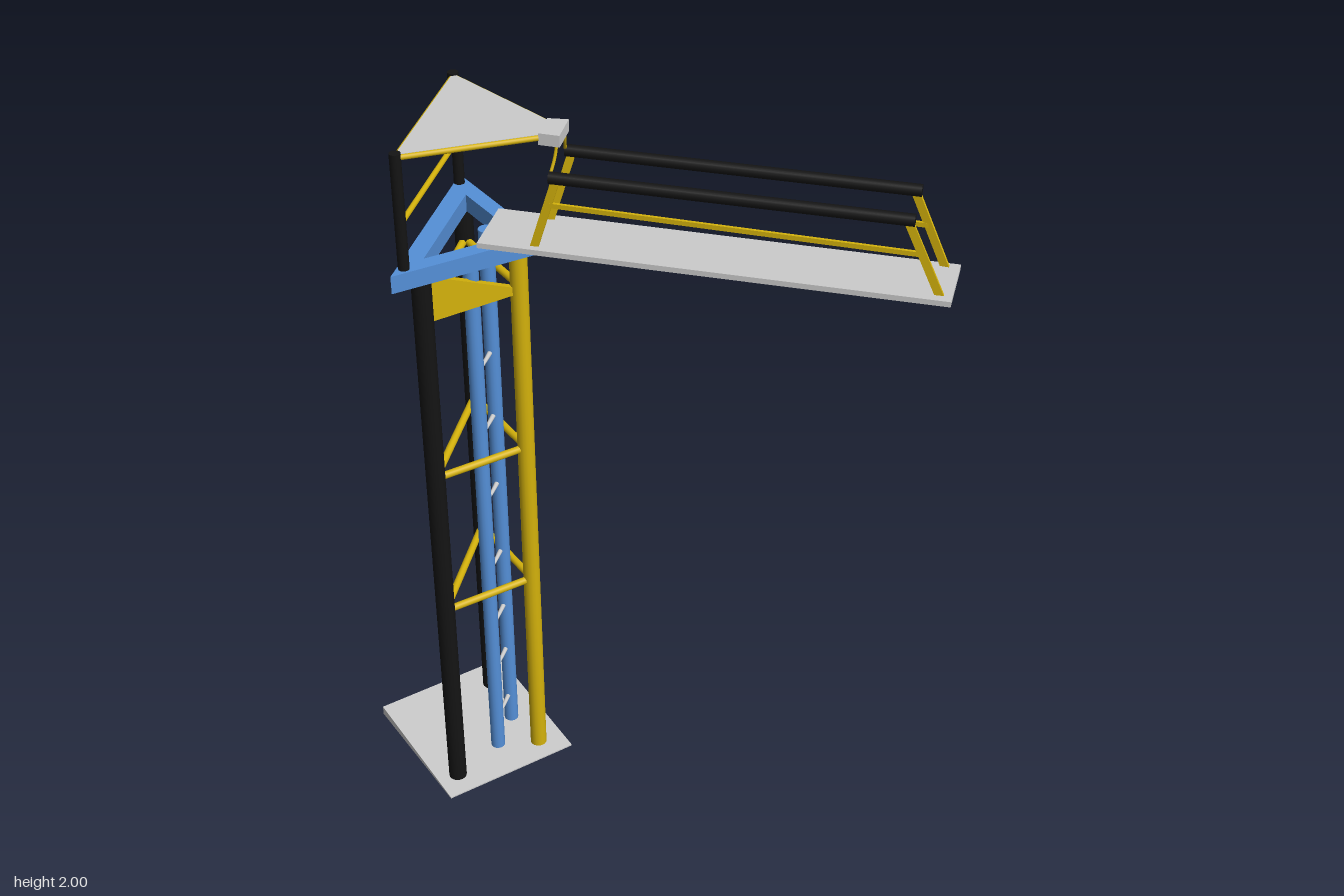
import * as THREE from 'three';

const mat = (color) => new THREE.MeshStandardMaterial({ color, side: THREE.DoubleSide });
const V = (x, y, z) => new THREE.Vector3(x, y, z);

export function createModel() {
  const model = new THREE.Group();
  const grey = mat(0xcccccc), black = mat(0x141414), blue = mat(0x5590d8), yellow = mat(0xd4b20c);

  const add = (name, geometry, material) => {
    const mesh = new THREE.Mesh(geometry, material);
    mesh.name = name;
    model.add(mesh);
    return mesh;
  };
  // Lays a geometry that runs along z between two points
  const span = (name, geometry, material, p, q) => {
    const mesh = add(name, geometry, material);
    mesh.position.copy(p).lerp(q, 0.5);
    mesh.lookAt(q);
    return mesh;
  };
  const rod = (name, p, q, r, material, r2 = r) =>
    span(name, new THREE.CylinderGeometry(r2, r, p.distanceTo(q), 16).rotateX(Math.PI / 2), material, p, q);
  const bar = (name, p, q, w, h, material) =>
    span(name, new THREE.BoxGeometry(w, h, p.distanceTo(q)), material, p, q);
  const post = (name, [x, z], y0, y1, r, material) => {
    const mesh = add(name, new THREE.CylinderGeometry(r, r, y1 - y0, 16), material);
    mesh.position.set(x, (y0 + y1) / 2, z);
  };
  // Horizontal slab from a plan outline of [x, z] points
  const slab = (name, outline, y0, y1, material, hole) => {
    const toV2 = ([x, z]) => new THREE.Vector2(x, -z);
    const shape = new THREE.Shape(outline.map(toV2));
    if (hole) shape.holes.push(new THREE.Path(hole.map(toV2)));
    const geometry = new THREE.ExtrudeGeometry(shape, { depth: y1 - y0, bevelEnabled: false });
    geometry.rotateX(-Math.PI / 2).translate(0, y0, 0);
    add(name, geometry, material);
  };

  // Wedge-shaped base plate, thin at the front
  const base = new THREE.BoxGeometry(0.4, 0.028, 0.42).translate(-0.345, 0.014, -0.393);
  const pos = base.attributes.position;
  for (let i = 0; i < pos.count; i++) {
    if (pos.getY(i) > 0.02 && pos.getZ(i) > -0.3) pos.setY(i, 0.004);
  }
  base.computeVertexNormals();
  add('basePlate', base, grey);

  // Three main columns
  const colA = [-0.485, -0.25], colB = [-0.22, -0.525], colC = [-0.22, -0.245];
  post('rearColumn', colA, 0.01, 1.66, 0.025, black);
  post('rearColumn', colB, 0.01, 1.66, 0.025, black);
  post('frontColumn', colC, 0.01, 1.66, 0.023, yellow);

  // Cross braces between the columns
  const pairs = [[colA, colB], [colB, colC], [colC, colA]];
  for (const y of [0.62, 1.06, 1.55]) {
    for (const [p, q] of pairs) {
      if (y > 1.5 && p === colC) continue;
      rod('crossBrace', V(p[0], y, p[1]), V(q[0], y, q[1]), 0.01, yellow);
    }
  }

  // Gusset replacing the upper side brace
  const gusset = new THREE.Shape();
  gusset.moveTo(-0.465, 1.53).lineTo(-0.235, 1.53).lineTo(-0.235, 1.55).lineTo(-0.465, 1.655);
  add('gusset', new THREE.ExtrudeGeometry(gusset, { depth: 0.02, bevelEnabled: false }).translate(0, 0, -0.26), yellow);

  // Ladder
  const railL = [-0.34, -0.27], railR = [-0.25, -0.35];
  for (const rail of [railL, railR]) post('ladderRail', rail, 0.04, 1.67, 0.02, blue);
  for (const y of [0.135, 0.315, 0.475, 0.67, 0.9, 1.12, 1.315, 1.52]) {
    rod('ladderRung', V(railL[0], y - 0.003, railL[1]), V(railR[0], y + 0.003, railR[1]), 0.003, grey, 0.007);
  }

  // Triangular frame on top of the columns
  const frame = [[-0.575, -0.225], [-0.19, -0.59], [-0.18, -0.2]];
  const inner = frame.map(([x, z]) => [-0.295 + (x + 0.295) * 0.62, -0.315 + (z + 0.315) * 0.62]);
  slab('topFrame', frame, 1.65, 1.697, blue, inner);

  // Long diagonal board
  slab('board', [[-0.34, -0.23], [0.44, 0.6], [0.57, 0.48], [-0.21, -0.352]], 1.7, 1.714, grey);

  // Handrails with slanted legs: [start, end, start foot, end foot] in plan
  const rails = [
    [[-0.2, -0.115], [0.39, 0.51], [-0.23, -0.145], [0.44, 0.56]],
    [[-0.095, -0.215], [0.493, 0.408], [-0.13, -0.238], [0.535, 0.465]],
  ];
  const boxEnds = [[-0.172, -0.125], [-0.115, -0.183]];
  rails.forEach(([s, e, fs, fe], i) => {
    const top = (p) => V(p[0], 1.9, p[1]), foot = (p) => V(p[0], 1.71, p[1]);
    rod('handrail', top(s), top(e), 0.015, black);
    const inS = top(s).lerp(top(e), 0.02), inE = top(e).lerp(top(s), 0.02);
    bar('handrailLeg', foot(fs), inS, 0.008, 0.02, yellow);
    bar('handrailLeg', foot(fe), inE, 0.008, 0.02, yellow);
    bar('midRail', foot(fs).lerp(inS, 0.62), foot(fe).lerp(inE, 0.55), 0.008, 0.012, yellow);
    // Thin curved strut up to the canopy
    const [bx, bz] = boxEnds[i];
    const curve = new THREE.QuadraticBezierCurve3(V(bx, 1.975, bz), V(bx, 1.945, bz), top(s));
    add('canopyStrut', new THREE.TubeGeometry(curve, 10, 0.004, 8), yellow);
  });

  // Upper posts, guard bar and canopy
  const upA = [-0.53, -0.243], upB = [-0.212, -0.552];
  for (const p of [upA, upB]) post('upperPost', p, 1.69, 2, 0.014, black);
  rod('guardBar', V(upA[0], 1.815, upA[1]), V(upB[0], 1.815, upB[1]), 0.007, yellow);
  const neckA = [-0.205, -0.152], neckB = [-0.146, -0.208];
  slab('canopy', [upA, neckA, neckB, upB], 1.989, 1.996, grey);
  for (const [p, q] of [[upA, upB], [upA, neckA], [upB, neckB]]) {
    rod('canopyEdgeBar', V(p[0], 1.988, p[1]), V(q[0], 1.988, q[1]), 0.007, yellow);
  }
  slab('canopyEndBlock', [neckA, [-0.17, -0.113], [-0.107, -0.175], neckB], 1.97, 2, grey);

  return model;
}
